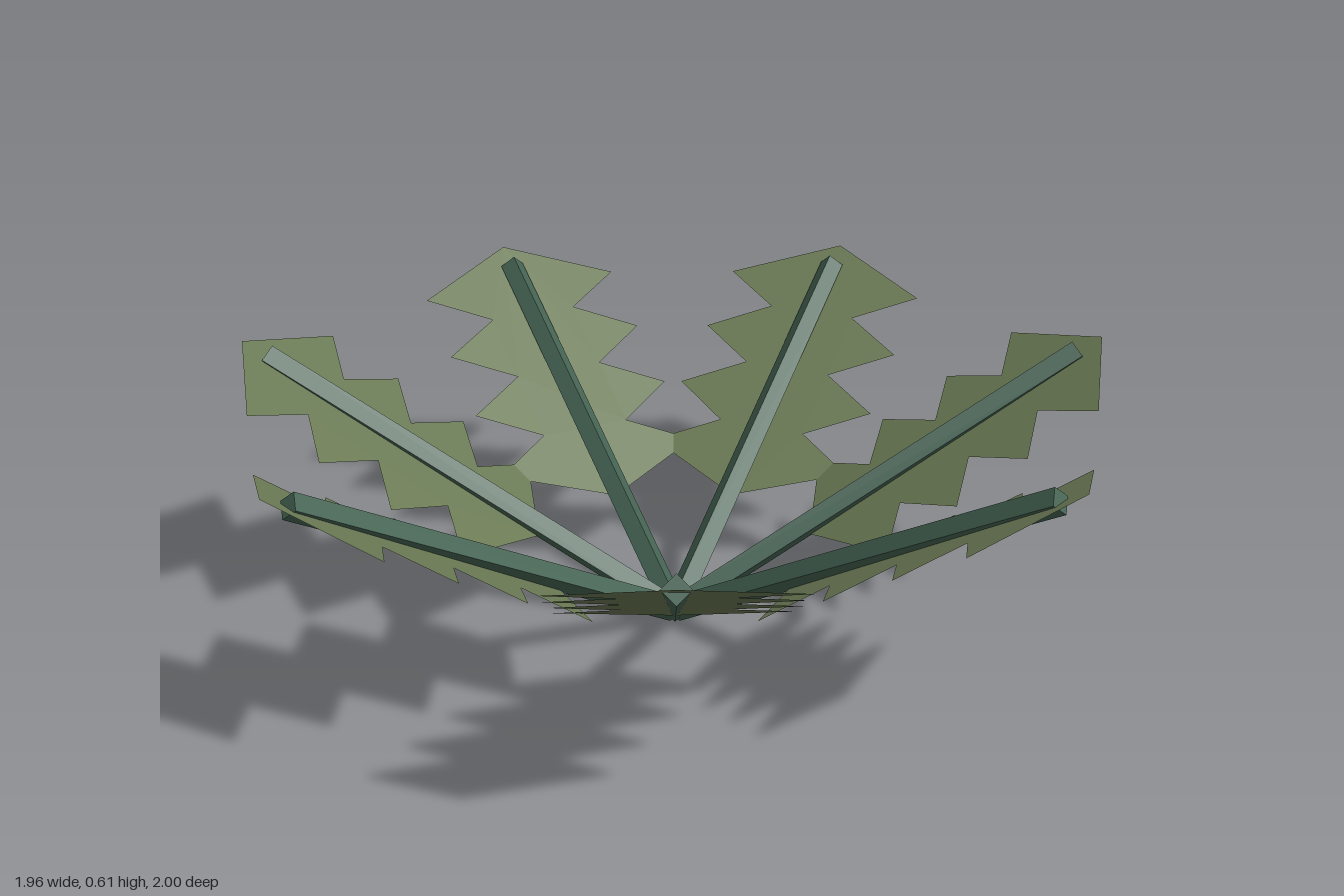
import * as THREE from 'three';

const FRONDS = 7;
const CENTRE_X = -0.045;
const TILT = Math.PI / 6;

// Flat saw-toothed blade running outward along +x, sloping upward
function bladeGeometry() {
  const tip = 1.025, base = 0.325, teeth = 4, pitch = 0.161, firstTooth = 0.425;
  const side = [];
  for (let i = 0; i < teeth; i++) {
    const x = firstTooth + i * pitch;
    side.push([x, 0.258]);
    if (i < teeth - 1) side.push([x + pitch / 2, 0.112]);
  }
  const outline = [[base, 0], ...side.map(([x, w]) => [x, -w]), [tip, 0], ...side.slice().reverse()];
  const geo = new THREE.ShapeGeometry(new THREE.Shape(outline.map(([x, w]) => new THREE.Vector2(x, w))));
  geo.rotateX(-Math.PI / 2);
  // Lift every point onto the sloping plane
  const p = geo.attributes.position;
  for (let i = 0; i < p.count; i++) {
    p.setY(i, 0.185 + (p.getX(i) - base) * 0.614);
  }
  geo.computeVertexNormals();
  return geo;
}

// Four-sided stem with a ridge on top, from the centre outward
function stemGeometry() {
  const length = 1.115;
  const geo = new THREE.CylinderGeometry(0.03, 0.03, length, 4);
  geo.translate(0, length / 2, 0);
  geo.rotateZ(TILT - Math.PI / 2);
  geo.translate(0, 0.026, 0);
  return geo;
}

export function createModel() {
  const model = new THREE.Group();
  model.name = 'fern';

  const leafMaterial = new THREE.MeshStandardMaterial({ color: 0x6b7a55, flatShading: true, side: THREE.DoubleSide });
  const stemMaterial = new THREE.MeshStandardMaterial({ color: 0x456353, flatShading: true });
  const blade = bladeGeometry();
  const stem = stemGeometry();

  // Fronds evenly spread around the centre
  for (let i = 0; i < FRONDS; i++) {
    const frond = new THREE.Group();
    frond.name = `frond${i + 1}`;
    const stemMesh = new THREE.Mesh(stem, stemMaterial);
    stemMesh.name = 'stem';
    const leafMesh = new THREE.Mesh(blade, leafMaterial);
    leafMesh.name = 'leaf';
    frond.add(stemMesh, leafMesh);
    frond.position.x = CENTRE_X;
    frond.rotation.y = (i / FRONDS) * Math.PI * 2;
    model.add(frond);
  }
  return model;
}
